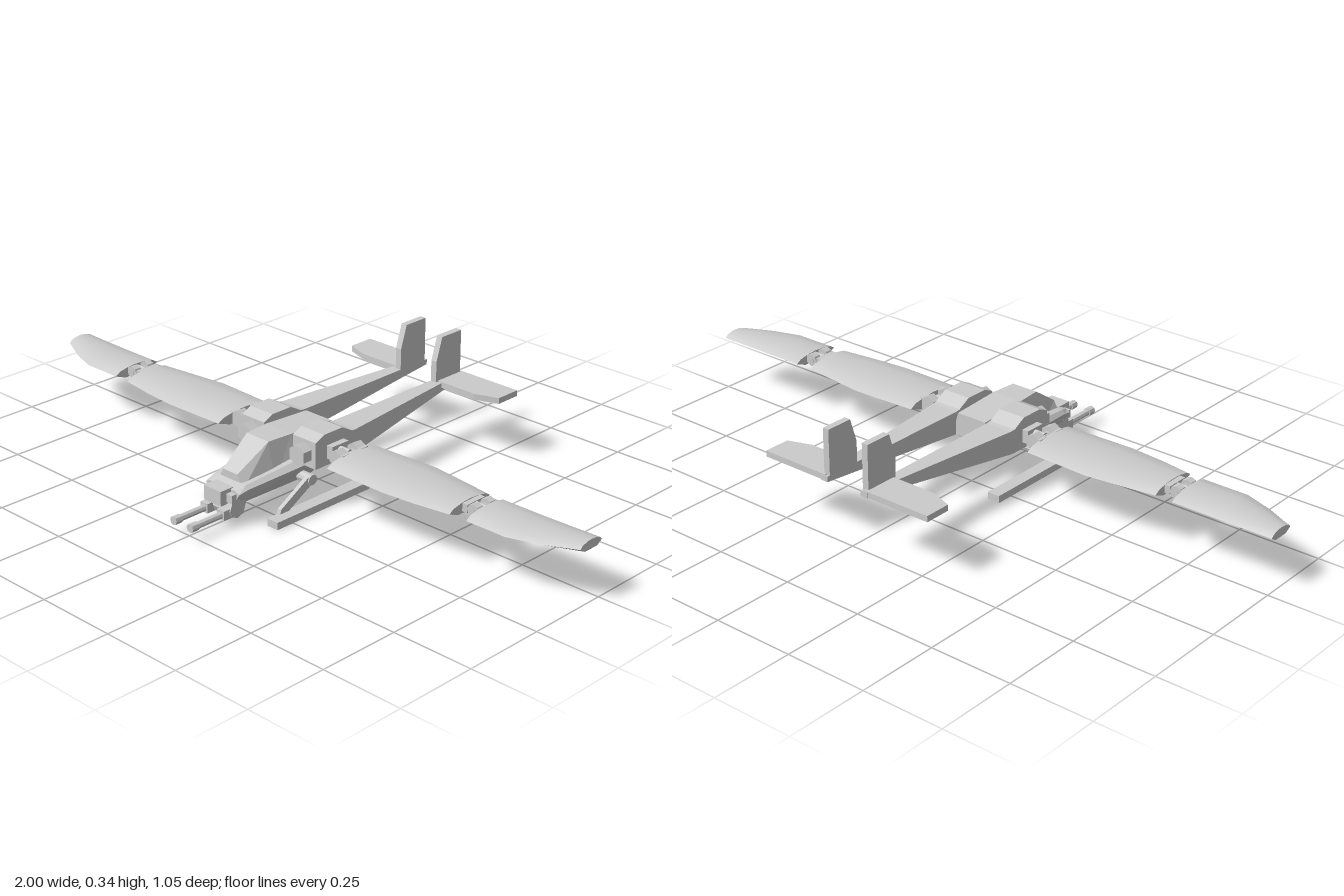
import * as THREE from 'three';
import { toCreasedNormals } from 'three/addons/utils/BufferGeometryUtils.js';

const flat = new THREE.MeshStandardMaterial({ color: 0xcccccc, flatShading: true });
const smooth = new THREE.MeshStandardMaterial({ color: 0xcccccc });

// Skin a row of equal-length closed sections ([x, y, z] points) and cap both ends.
function loft(sections) {
  const n = sections[0].length, last = sections.length - 1;
  const pts = sections.flat(), index = [];
  for (let i = 0; i < last; i++) {
    for (let j = 0; j < n; j++) {
      const a = i * n + j, b = i * n + (j + 1) % n;
      index.push(a, b, b + n, a, b + n, a + n);
    }
  }
  for (const [k, flip] of [[0, true], [last, false]]) {
    const c = pts.length;
    pts.push([0, 1, 2].map(d => sections[k].reduce((s, p) => s + p[d], 0) / n));
    for (let j = 0; j < n; j++) {
      const a = k * n + j, b = k * n + (j + 1) % n;
      index.push(...(flip ? [c, b, a] : [c, a, b]));
    }
  }
  // The signed volume tells whether the faces point outward
  const v = pts.map(p => new THREE.Vector3(...p));
  let volume = 0;
  for (let i = 0; i < index.length; i += 3) {
    volume += v[index[i]].dot(v[index[i + 1]].clone().cross(v[index[i + 2]]));
  }
  if (volume < 0) index.reverse();
  const g = new THREE.BufferGeometry();
  g.setAttribute('position', new THREE.Float32BufferAttribute(pts.flat(), 3));
  g.setIndex(index);
  g.computeVertexNormals();
  return g;
}

function add(parent, name, geometry, material = flat) {
  const mesh = new THREE.Mesh(geometry, material);
  mesh.name = name;
  parent.add(mesh);
  return mesh;
}

// Box given by its extents
function box(parent, name, x0, x1, y0, y1, z0, z1) {
  const g = new THREE.BoxGeometry(Math.abs(x1 - x0), y1 - y0, z1 - z0);
  return add(parent, name, g.translate((x0 + x1) / 2, (y0 + y1) / 2, (z0 + z1) / 2));
}

// Cylinder along the x or z axis, centred on (x, y, z)
function rod(parent, name, axis, r, length, x, y, z, sides = 8) {
  const g = new THREE.CylinderGeometry(r, r, length, sides);
  if (axis === 'x') g.rotateZ(Math.PI / 2);
  else g.rotateX(Math.PI / 2);
  return add(parent, name, g.translate(x, y, z));
}

// Flat plate: a side profile of [z, y] points between two x positions
const plate = (profile, x0, x1) => loft([x0, x1].map(x => profile.map(([z, y]) => [x, y, z])));

// Lens-shaped wing panel from rows of [x, rear z, front z, half thickness]
function wingPanel(rows, s) {
  const outline = [[0, -0.1], [0.1, 0.5], [0.3, 0.88], [0.5, 1], [0.7, 0.88], [0.9, 0.5], [1, -0.1],
    [0.78, -0.95], [0.22, -0.95]];
  const sections = rows.map(([x, z0, z1, h]) =>
    outline.map(([t, u]) => [s * x, 0.168 + u * h, z0 + t * (z1 - z0)]));
  return toCreasedNormals(loft(sections), 0.6);
}

function buildSide(s) {
  const g = new THREE.Group();
  g.name = s > 0 ? 'leftSide' : 'rightSide';

  // Engine nacelle running back into the tail boom: z, bottom, top, inner x, outer x
  const boom = [
    [0.16, 0.13, 0.21, 0.057, 0.145], [0.127, 0.13, 0.225, 0.057, 0.145],
    [0.055, 0.13, 0.225, 0.057, 0.145], [0.015, 0.13, 0.203, 0.057, 0.145],
    [0, 0.13, 0.201, 0.057, 0.143], [-0.41, 0.173, 0.201, 0.06, 0.096],
    [-0.527, 0.185, 0.201, 0.06, 0.083]];
  add(g, 'nacelleAndBoom', loft(boom.map(([z, b, t, i, o]) =>
    [[s * i, b, z], [s * o, b, z], [s * o, t, z], [s * i, t, z]])));
  rod(g, 'engineIntake', 'z', 0.031, 0.05, s * 0.103, 0.17, 0.167, 6);

  // Tail fin and stabilizer
  add(g, 'tailFin', plate([[-0.41, 0.19], [-0.41, 0.265], [-0.433, 0.337], [-0.517, 0.337], [-0.517, 0.19]],
    s * 0.06, s * 0.08));
  const tail = [[0.07, -0.418], [0.22, -0.418], [0.292, -0.443], [0.292, -0.525], [0.07, -0.525]];
  add(g, 'stabilizer', loft([0.186, 0.204].map(y => tail.map(([x, z]) => [s * x, y, z]))));

  // Inner wing hinge
  rod(g, 'wingRootShaft', 'x', 0.014, 0.06, s * 0.17, 0.17, 0.082);
  rod(g, 'wingRootPin', 'z', 0.011, 0.07, s * 0.195, 0.17, 0.082);
  for (const z of [0.048, 0.118]) {
    rod(g, 'wingRootKnuckle', 'z', 0.026, 0.03, s * 0.195, 0.17, z, 6);
    box(g, 'wingRootLug', s * 0.195, s * 0.222, 0.152, 0.186, z - 0.015, z + 0.015);
  }
  box(g, 'wingRootBracket', s * 0.14, s * 0.165, 0.15, 0.19, 0.05, 0.115);

  // Inner wing, folding joint, outer wing
  add(g, 'innerWing', wingPanel([[0.215, -0.016, 0.188, 0.019], [0.42, -0.025, 0.192, 0.019],
    [0.53, -0.012, 0.182, 0.018], [0.635, 0.003, 0.166, 0.017]], s), smooth);
  rod(g, 'wingFoldShaft', 'x', 0.011, 0.07, s * 0.662, 0.17, 0.08);
  for (const z of [0.055, 0.105]) {
    rod(g, 'wingFoldKnuckle', 'z', 0.02, 0.022, s * 0.672, 0.17, z);
    box(g, 'wingFoldLug', s * 0.672, s * 0.7, 0.158, 0.182, z - 0.011, z + 0.011);
  }
  rod(g, 'wingFoldPin', 'z', 0.009, 0.075, s * 0.672, 0.17, 0.08);
  box(g, 'wingFoldBracket', s * 0.63, s * 0.652, 0.158, 0.182, 0.045, 0.115);
  add(g, 'outerWing', wingPanel([[0.69, 0, 0.164, 0.017], [0.82, 0, 0.164, 0.017],
    [0.91, 0, 0.133, 0.016], [1, 0, 0.088, 0.014]], s), smooth);

  // Landing skid with its swing arm
  box(g, 'skid', s * 0.107, s * 0.147, 0, 0.022, -0.056, 0.31);
  add(g, 'skidArm', plate([[0.27, 0.018], [0.265, 0.035], [0.155, 0.099], [0.135, 0.078], [0.235, 0.022]],
    s * 0.103, s * 0.116));
  rod(g, 'skidPivot', 'x', 0.016, 0.05, s * 0.095, 0.086, 0.145, 10);

  // Gun: breech, barrel, muzzle
  const x = s * 0.033;
  box(g, 'gunBreech', x - 0.014, x + 0.014, 0.03, 0.058, 0.36, 0.415);
  rod(g, 'gunBarrel', 'z', 0.01, 0.13, x, 0.043, 0.45);
  rod(g, 'gunMuzzle', 'z', 0.013, 0.024, x, 0.043, 0.515);
  return g;
}

export function createModel() {
  const model = new THREE.Group();
  model.name = 'aircraft';

  // Fuselage: z, top y, top half width, waist y, waist half width, bottom y, bottom half width
  const body = [
    [0.375, 0.108, 0.05, 0.1, 0.066, 0.06, 0.042], [0.345, 0.118, 0.06, 0.108, 0.071, 0.06, 0.045],
    [0.17, 0.145, 0.085, 0.13, 0.102, 0.06, 0.048], [0.09, 0.145, 0.085, 0.13, 0.1, 0.06, 0.048],
    [0.005, 0.145, 0.08, 0.135, 0.09, 0.128, 0.06]];
  add(model, 'fuselage', loft(body.map(([z, t, tw, m, mw, b, bw]) =>
    [[-tw, t, z], [-mw, m, z], [-bw, b, z], [bw, b, z], [mw, m, z], [tw, t, z]])));

  // Cockpit canopy: z, base half width, top y, top half width
  const canopy = [[0.345, 0.05, 0.14, 0.028], [0.24, 0.068, 0.209, 0.043], [0.16, 0.078, 0.209, 0.05],
    [0, 0.07, 0.2, 0.05]];
  add(model, 'canopy', loft(canopy.map(([z, w, t, tw]) =>
    [[-w, 0.1 + (z < 0.1 ? 0.03 : 0), z], [w, 0.1 + (z < 0.1 ? 0.03 : 0), z], [tw, t, z], [-tw, t, z]])));

  // Tapering tail spike: z, bottom, top, half width
  const spike = [[0.07, 0.084, 0.135, 0.034], [0, 0.087, 0.13, 0.03], [-0.142, 0.097, 0.121, 0.017]];
  add(model, 'tailSpike', loft(spike.map(([z, b, t, w]) => {
    const m = (b + t) / 2;
    return [[-w * 0.6, b, z], [w * 0.6, b, z], [w, m, z], [w * 0.4, t, z], [-w * 0.4, t, z], [-w, m, z]];
  })));

  // Chin turret and sensor head
  add(model, 'chinTurret', plate([[0.395, 0.05], [0.385, 0.075], [0.37, 0.09], [0.345, 0.09], [0.335, 0.06],
    [0.345, 0.032], [0.367, 0.024], [0.387, 0.032]], -0.05, 0.05));
  box(model, 'sensorHead', -0.033, 0.033, 0.068, 0.112, 0.365, 0.413);
  box(model, 'sensorMount', -0.055, 0.055, 0.075, 0.1, 0.36, 0.392);

  for (const s of [1, -1]) model.add(buildSide(s));
  return model;
}
